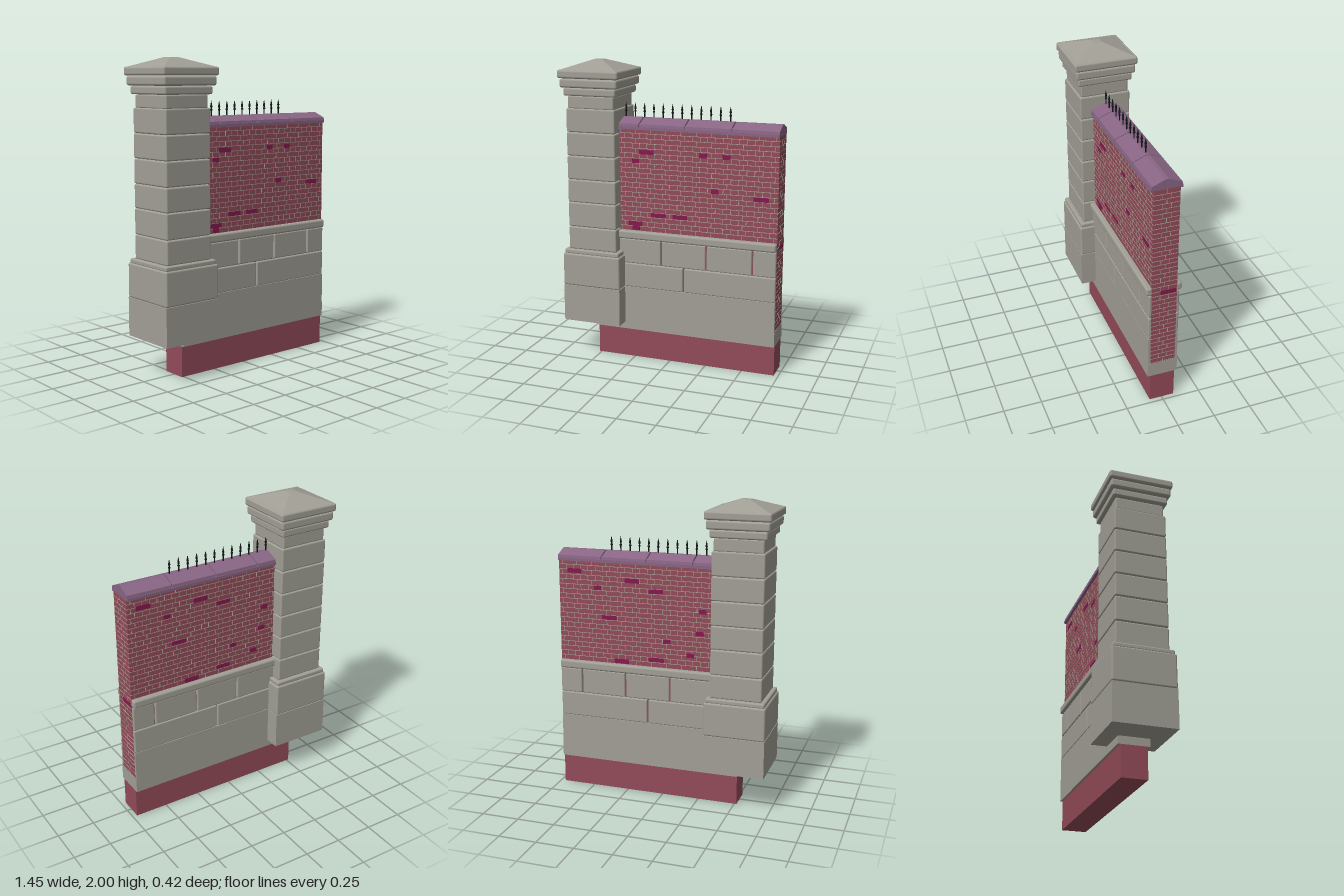
import * as THREE from 'three';
import { mergeGeometries } from 'three/addons/utils/BufferGeometryUtils.js';
import { RoundedBoxGeometry } from 'three/addons/geometries/RoundedBoxGeometry.js';

const mat = (name, color) => {
  const m = new THREE.MeshStandardMaterial({ color });
  m.name = name;
  return m;
};

export function createModel() {
  const stone = mat('stone', 0xa19f95);
  const brick = mat('brick', 0x924b58);
  const mortar = mat('mortar', 0xa8a399);
  const accent = mat('accentBrick', 0x86184f);
  const slate = mat('copingSlate', 0x886584);
  const iron = mat('iron', 0x15161a);

  const model = new THREE.Group();
  model.name = 'wallWithPillar';
  const group = (name) => {
    const g = new THREE.Group();
    g.name = name;
    model.add(g);
    return g;
  };
  const add = (parent, name, geo, material) => {
    const m = new THREE.Mesh(geo, material);
    m.name = name;
    parent.add(m);
    return m;
  };
  // Box given by its limits; r > 0 rounds the edges
  const block = (x0, x1, y0, y1, z0, z1, r = 0) => {
    const s = [x1 - x0, y1 - y0, z1 - z0];
    const g = r ? new RoundedBoxGeometry(...s, 2, r) : new THREE.BoxGeometry(...s);
    return g.translate((x0 + x1) / 2, (y0 + y1) / 2, (z0 + z1) / 2);
  };

  const X0 = -0.515, X1 = 0.72, T = 0.083; // wall ends and half thickness

  // Pillar: base, shaft blocks and moulded cap, as [bottom, top, half width, rounding]
  const pillar = group('pillar');
  const PX = -0.515;
  const tiers = [
    ['pillarFoot', 0.25, 0.5, 0.202, 0],
    ['pillarBase', 0.5, 0.722, 0.203, 0.012],
    ['baseLip', 0.718, 0.75, 0.194, 0.01],
    ['shaftBlock', 0.748, 0.902, 0.17, 0.01],
    ['shaftBlock', 0.904, 1.068, 0.17, 0.01],
    ['shaftBlock', 1.07, 1.222, 0.17, 0.01],
    ['shaftBlock', 1.224, 1.38, 0.17, 0.01],
    ['shaftBlock', 1.382, 1.536, 0.17, 0.01],
    ['shaftBlock', 1.538, 1.693, 0.17, 0.01],
    ['neck', 1.69, 1.775, 0.16, 0.01],
    ['capMoulding', 1.775, 1.826, 0.182, 0.012],
    ['capMoulding', 1.828, 1.886, 0.2, 0.014],
    ['capSlab', 1.888, 1.942, 0.211, 0.014],
  ];
  for (const [name, y0, y1, h, r] of tiers) {
    add(pillar, name, block(PX - h, PX + h, y0, y1, -h, h, r), stone);
  }
  const roof = new THREE.CylinderGeometry(0.03 * Math.SQRT2, 0.205 * Math.SQRT2, 0.062, 4).toNonIndexed();
  roof.rotateY(Math.PI / 4).translate(PX, 1.969, 0).computeVertexNormals();
  add(pillar, 'capRoof', roof, stone);

  // Brick core, running down to the footing
  const wall = group('brickWall');
  add(wall, 'brickCore', block(X0, X1, 0, 1.572, -T, T), brick);

  // Mortar: thin plates along the courses and upright joints
  const C = 0.0325, L = 0.103, W = 0.0035, P = 0.0012;
  const joints = [];
  const sideJoint = (x0, x1, y0, y1) => {
    for (const s of [-1, 1]) joints.push(block(x0, x1, y0, y1, s * T - P, s * T + P));
  };
  for (let i = 0, y = 0.89; y < 1.56; i++, y += C) {
    sideJoint(-0.36, X1, y - W / 2, y + W / 2);
    for (let x = -0.335 + (i % 2) * L / 4; x < X1; x += i % 2 ? L / 2 : L) {
      sideJoint(x - W / 2, x + W / 2, y, Math.min(y + C, 1.57));
    }
  }
  for (let i = 0, y = 0.305; y < 1.56; i++, y += C) {
    const end = (y0, y1, z0, z1) => joints.push(block(X1 - P, X1 + P, y0, y1, z0, z1));
    end(y - W / 2, y + W / 2, -T, T);
    for (const z of i % 2 ? [-0.028, 0.028] : [0]) end(y, Math.min(y + C, 1.57), z - W / 2, z + W / 2);
  }
  add(wall, 'mortarJoints', mergeGeometries(joints), mortar);

  // Odd coloured bricks, as [x, y, length]
  const oddFront = [
    [-0.16, 1.42, 0.1], [-0.235, 1.36, 0.05], [0.225, 1.42, 0.05], [0.38, 1.42, 0.05],
    [0.305, 1.195, 0.05], [0.61, 1.165, 0.1], [-0.08, 1.005, 0.1], [0.07, 1.005, 0.1],
    [-0.24, 0.94, 0.1], [-0.235, 0.91, 0.05],
  ];
  const oddBack = [
    [0.61, 1.5, 0.1], [0.45, 1.395, 0.05], [0.21, 1.455, 0.1], [0.045, 1.395, 0.1],
    [0.37, 1.2, 0.1], [-0.27, 1.285, 0.05], [-0.25, 1.14, 0.05], [-0.03, 1.07, 0.05],
    [-0.19, 0.99, 0.05], [0.045, 0.94, 0.1], [0.285, 0.91, 0.1],
  ];
  const odd = [block(X1 - 0.002, X1 + 0.002, 0.831, 0.86, -0.076, 0.026)];
  [[oddFront, 1], [oddBack, -1]].forEach(([list, s]) => {
    for (const [x, y, l] of list) {
      odd.push(block(x - l / 2, x + l / 2, y - 0.0145, y + 0.0145, s * T - 0.002, s * T + 0.002));
    }
  });
  add(wall, 'oddBricks', mergeGeometries(odd), accent);

  // Stone facing on both sides of the core
  const facing = group('stoneFacing');
  const E = X1 - 0.001;
  add(facing, 'footing', block(X0 - 0.001, X1 + 0.001, 0.2, 0.3, -0.1, 0.1), stone);
  const courses = [
    [0.502, 0.665, [-0.4, 0.1, E]],
    [0.668, 0.835, [-0.4, -0.055, 0.255, 0.565, E]],
  ];
  for (const s of [-1, 1]) {
    const slab = (name, x0, x1, y0, y1, depth, r) => {
      const z = [s * 0.06, s * depth].sort((a, b) => a - b);
      add(facing, name, block(x0, x1, y0, y1, z[0], z[1], r), stone);
    };
    slab('footingSide', X0, E, 0.299, 0.501, 0.1, 0);
    for (const [y0, y1, xs] of courses) {
      for (let i = 0; i + 1 < xs.length; i++) {
        const last = i + 2 === xs.length;
        slab('facingStone', xs[i] + 0.004, xs[i + 1] - (last ? 0 : 0.004), y0, y1, 0.101, 0.008);
      }
    }
    slab('ledge', -0.4, E, 0.836, 0.892, 0.117, 0.014);
  }

  // Ridged coping stones over a thin bed course
  const coping = group('coping');
  const profile = new THREE.Shape([
    [-0.098, 1.58], [0.098, 1.58], [0.094, 1.602], [0.012, 1.635], [-0.012, 1.635], [-0.094, 1.602],
  ].map(([z, y]) => new THREE.Vector2(z, y)));
  const ends = [X0, -0.205, 0.105, 0.415, X1 + 0.004];
  for (let i = 0; i < 4; i++) {
    const x0 = ends[i] + 0.004, depth = ends[i + 1] - 0.004 - x0;
    const g = new THREE.ExtrudeGeometry(profile, { depth, bevelEnabled: false });
    // Extrusion axis turned from z to x
    g.rotateY(Math.PI / 2).translate(x0, 0, 0);
    add(coping, 'copingStone', g, slate);
  }
  add(coping, 'copingBed', block(X0, X1, 1.566, 1.584, -0.1, 0.1), slate);
  add(coping, 'copingCore', block(X0, X1 - 0.01, 1.58, 1.604, -0.085, 0.085), slate);

  // Row of iron spikes along the ridge
  const spikes = group('spikes');
  const spikeGeo = new THREE.LatheGeometry([
    [0.0045, 0], [0.0045, 0.045], [0.008, 0.048], [0.008, 0.054], [0.004, 0.057],
    [0.0075, 0.072], [0.0001, 0.108],
  ].map(([r, y]) => new THREE.Vector2(r, y)), 8);
  for (let i = 0; i < 12; i++) {
    add(spikes, 'spike', spikeGeo, iron).position.set(-0.331 + i * 0.0645, 1.622, 0);
  }

  return model;
}
